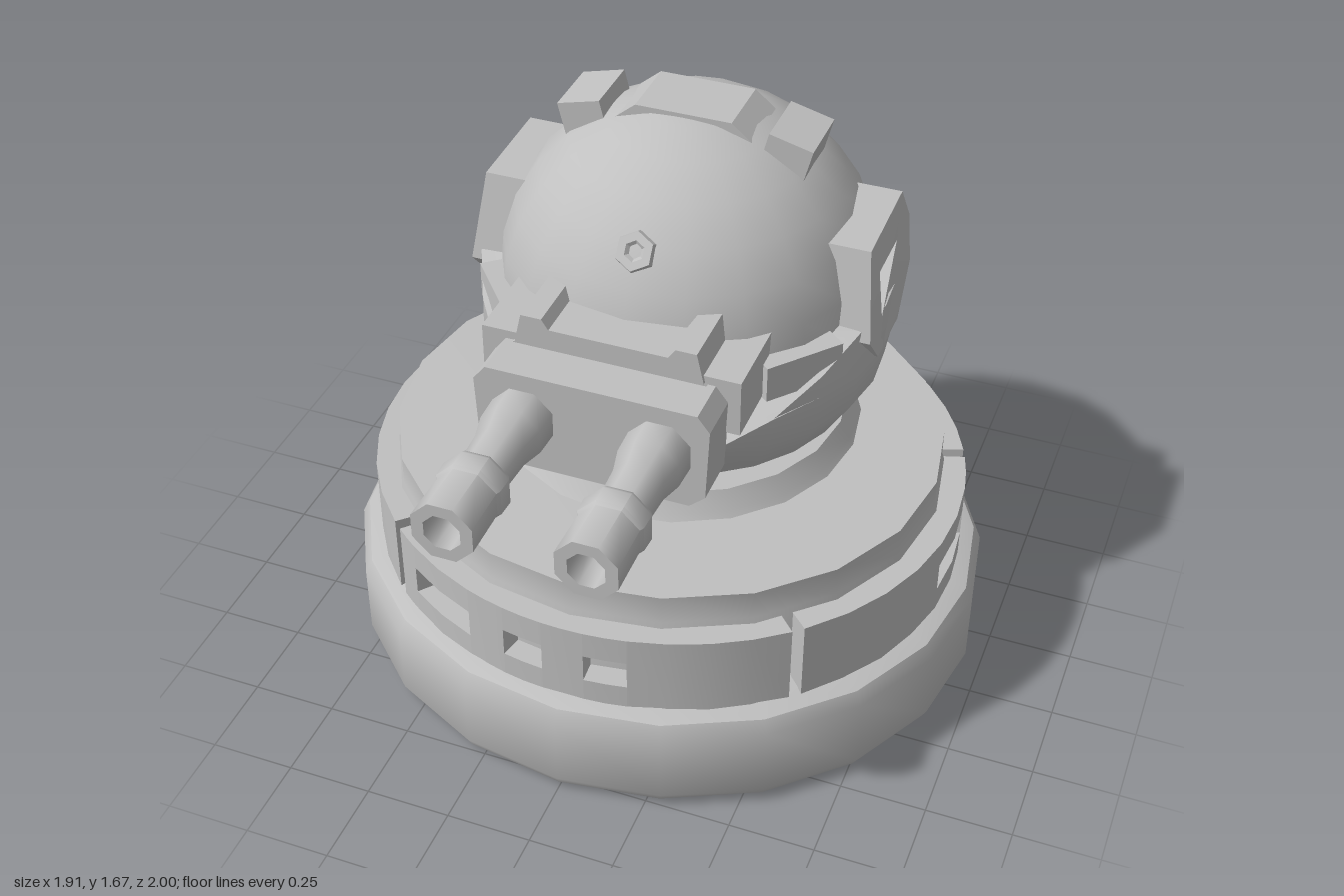
import * as THREE from 'three';
import { toCreasedNormals } from 'three/addons/utils/BufferGeometryUtils.js';

const rad = THREE.MathUtils.degToRad;
const V = (pts) => pts.map(([x, y]) => new THREE.Vector2(x, y));

export function createModel() {
  const model = new THREE.Group();
  model.name = 'turret';
  const grey = new THREE.MeshStandardMaterial({ color: 0xc0c0c0 });
  grey.name = 'plain grey';
  grey.side = THREE.DoubleSide;

  const add = (parent, name, geo, x = 0, y = 0, z = 0, crease = 0.65) => {
    const mesh = new THREE.Mesh(toCreasedNormals(geo, crease), grey);
    mesh.name = name;
    mesh.position.set(x, y, z);
    parent.add(mesh);
    return mesh;
  };
  const lathe = (pts, n, start = 0, len = Math.PI * 2) => new THREE.LatheGeometry(V(pts), n, start, len);
  const box = (w, h, d) => new THREE.BoxGeometry(w, h, d);
  // Outline in x and y, extruded forwards from z = 0
  const slab = (pts, depth) => new THREE.ExtrudeGeometry(new THREE.Shape(V(pts)), { depth, bevelEnabled: false });

  // Slightly oval stepped base
  const base = new THREE.Group();
  base.name = 'base';
  base.scale.z = 0.945;
  base.position.z = -0.1;
  model.add(base);
  add(base, 'baseDrum', lathe([[0, 0], [0.88, 0], [0.94, 0.02], [0.957, 0.05], [0.957, 0.27],
    [0.935, 0.31], [0.87, 0.335], [0.825, 0.34], [0.825, 0.57], [0.815, 0.59], [0.815, 0.68], [0, 0.685]], 20));

  // Curved wall block; angles in degrees, 0 is the front and + is towards +x
  const wall = (name, from, to, y0, y1) => {
    const a0 = rad(from - 90), a1 = rad(to - 90);
    const shape = new THREE.Shape();
    shape.absarc(0, 0, 0.885, a0, a1, false);
    shape.absarc(0, 0, 0.78, a1, a0, true);
    const geo = new THREE.ExtrudeGeometry(shape, {
      depth: y1 - y0, bevelEnabled: false, curveSegments: Math.max(1, Math.round((to - from) / 16)),
    });
    geo.rotateX(-Math.PI / 2);
    add(base, name, geo, 0, y0, 0);
  };
  // Armour band with window recesses and open seams: [centre, half width, seam?]
  const gaps = [[-110, 1.2, true], [-90, 9], [-43, 1.2, true], [-28, 8], [-8, 4], [8, 4],
    [43, 1.2, true], [90, 9], [110, 1.2, true], [172, 4], [188, 4]];
  let edge = 192 - 360;
  for (const [mid, half, seam] of gaps) {
    wall('bandPanel', edge, mid - half, 0.32, 0.575);
    if (!seam) {
      wall('windowSill', mid - half, mid + half, 0.32, 0.4);
      wall('windowLintel', mid - half, mid + half, 0.49, 0.575);
    }
    edge = mid + half;
  }

  // Neck collar
  add(model, 'neckCollar', lathe([[0.55, 0.67], [0.53, 0.7], [0.5, 0.755], [0, 0.76]], 20), 0, 0, -0.18);

  // Round head
  const head = new THREE.Group();
  head.name = 'head';
  model.add(head);
  const ball = new THREE.SphereGeometry(0.552, 20, 14);
  ball.scale(1.01, 1, 1);
  add(head, 'headBall', ball, 0, 1.115, -0.27, 1);

  // Jaw bowl round the front, its rim sloping down towards the gun
  const jaw = lathe([[0.47, 0.74], [0.5, 0.77], [0.58, 0.9], [0.602, 1.03], [0.6, 1.17], [0.5, 1.19]],
    14, -Math.PI * 0.56, Math.PI * 1.12);
  jaw.translate(0, 0, -0.25);
  const p = jaw.attributes.position;
  for (let i = 0; i < p.count; i++) {
    p.setY(i, Math.min(p.getY(i), 1.19 - 0.75 * Math.max(0, p.getZ(i) + 0.05)));
  }
  jaw.computeVertexNormals();
  add(head, 'jaw', jaw);

  for (const s of [-1, 1]) {
    const side = s > 0 ? 'left' : 'right';

    // Ear plate with a three-cornered recess; outline is (-z, y)
    const ear = new THREE.Shape(V([[0.06, 1.14], [0.12, 1.4], [0.43, 1.41], [0.48, 1.31], [0.46, 1.17], [0.36, 1.03], [0.16, 1.03]]));
    ear.holes.push(new THREE.Path(V([[0.17, 1.16], [0.35, 1.3], [0.18, 1.3]])));
    const earGeo = new THREE.ExtrudeGeometry(ear, { depth: 0.2, bevelEnabled: false });
    earGeo.rotateY(Math.PI / 2);
    const e = earGeo.attributes.position;
    for (let i = 0; i < e.count; i++) {
      e.setX(i, e.getX(i) + 0.4 - Math.max(0, e.getY(i) - 1.16) * 0.13);
    }
    if (s < 0) earGeo.rotateY(Math.PI).scale(1, 1, -1);
    if (s < 0) {
      // restore corner order after mirroring
      const idx = [...Array(e.count).keys()];
      for (let i = 0; i < idx.length; i += 3) [idx[i + 1], idx[i + 2]] = [idx[i + 2], idx[i + 1]];
      earGeo.setIndex(idx);
    }
    add(head, side + 'EarPlate', earGeo);

    // Raised block on the crown
    const lump = add(head, side + 'CrownBlock', box(0.13, 0.12, 0.19), s * 0.295, 1.585, -0.285);
    lump.rotation.z = -s * 0.25;
  }

  // Crown plate and forehead sensor
  add(head, 'crownPlate', slab([[-0.2, 0], [0.2, 0], [0.14, 0.05], [-0.14, 0.05]], 0.2), 0, 1.62, -0.39);
  const sensor = add(head, 'foreheadSensor', lathe([[0.07, -0.03], [0.055, 0.02], [0.03, 0.02], [0, -0.01]], 6), 0, 1.44, 0.16);
  sensor.rotation.x = rad(55);

  // Gun housing
  const gun = new THREE.Group();
  gun.name = 'gun';
  model.add(gun);
  add(gun, 'gunMount', slab([[-0.27, 0.93], [0.27, 0.93], [0.3, 1.0], [0.3, 1.2], [0.27, 1.22], [0.25, 1.31],
    [0.19, 1.31], [0.17, 1.28], [-0.17, 1.28], [-0.19, 1.31], [-0.25, 1.31], [-0.27, 1.22], [-0.3, 1.2], [-0.3, 1.0]], 0.25), 0, 0, 0.12);
  add(gun, 'gunFace', slab([[-0.28, 0.91], [0.28, 0.91], [0.325, 0.95], [0.335, 1.17], [0.3, 1.215],
    [-0.3, 1.215], [-0.335, 1.17], [-0.325, 0.95]], 0.15), 0, 0, 0.35);

  for (const s of [-1, 1]) {
    const side = s > 0 ? 'left' : 'right';
    add(gun, side + 'GunArm', box(0.11, 0.17, 0.3), s * 0.315, 1.155, 0.21);
    const strut = add(gun, side + 'GunStrut', box(0.09, 0.11, 0.24), s * 0.43, 1.12, 0.07);
    strut.rotation.y = -s * 0.7;

    // Barrel with flared muzzle and bore
    const barrel = lathe([[0.095, 0.48], [0.092, 0.58], [0.075, 0.65], [0.07, 0.76], [0.092, 0.775], [0.1, 0.79],
      [0.098, 0.84], [0.09, 0.85], [0.092, 1], [0.055, 1], [0.045, 0.88], [0, 0.88]], 8, Math.PI / 8);
    barrel.rotateX(Math.PI / 2);
    add(gun, side + 'Barrel', barrel, s * 0.195, 1.075, 0, 0.9);
  }
  return model;
}
